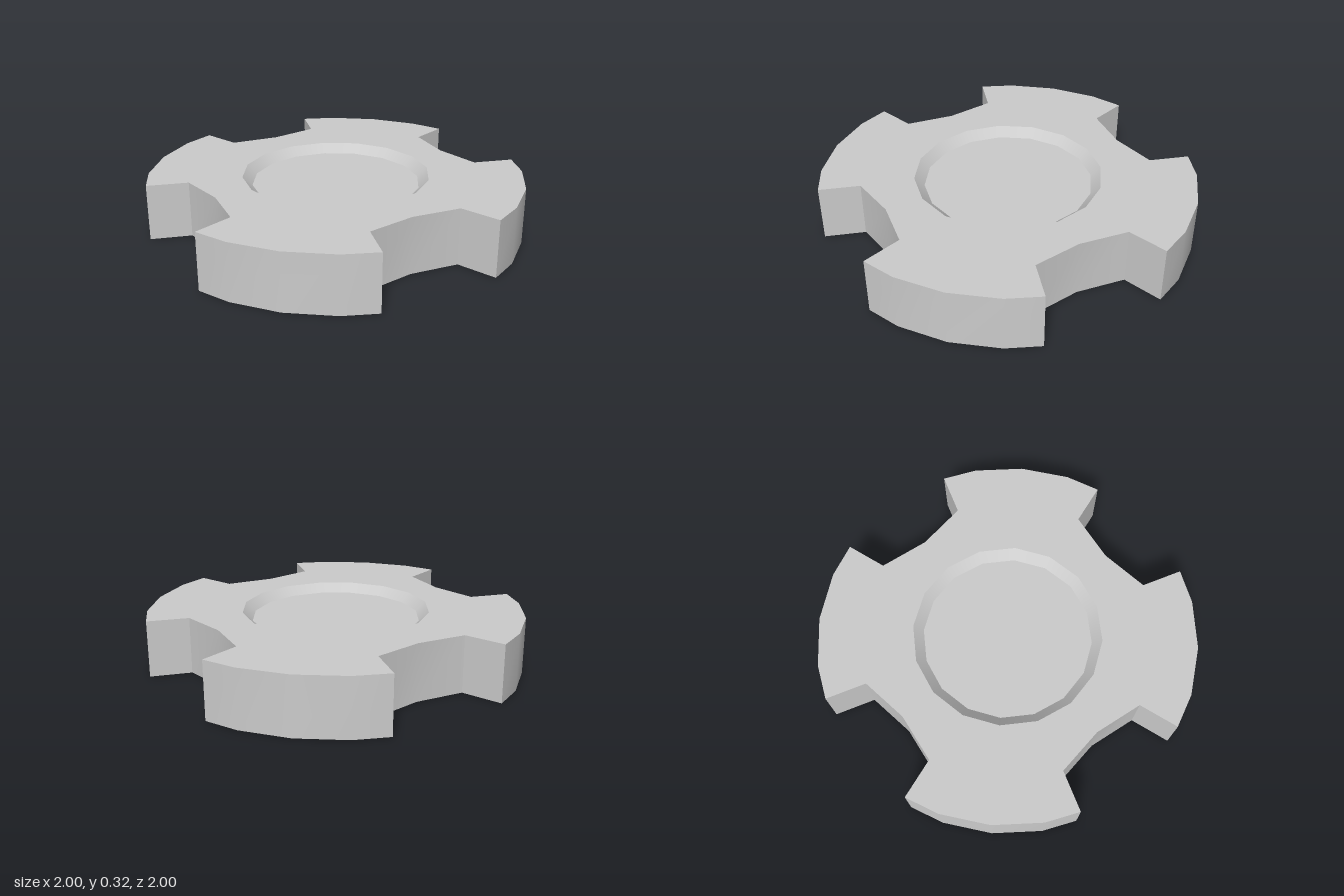
import * as THREE from 'three';
import { toCreasedNormals } from 'three/addons/utils/BufferGeometryUtils.js';

const HEIGHT = 0.32, RIM = 0.53, FLOOR = 0.475, FLOOR_Y = 0.27, SIDES = 16;
const CREASE = Math.PI / 6;

// One quarter of the outline: half notch, flared lobe, half notch
const QUARTER = [
  [0.742, 0], [0.78, 0.277], [1, 0.35], [0.92, 0.53],
  [0.75, 0.75], [0.53, 0.92], [0.35, 1], [0.277, 0.78],
];

function outlinePoints() {
  const points = [];
  for (let k = 0; k < 4; k++) {
    for (const [x, y] of QUARTER) {
      points.push(new THREE.Vector2(x, y).rotateAround(new THREE.Vector2(), k * Math.PI / 2));
    }
  }
  return points;
}

// Vertical wall following a closed counter-clockwise outline
function wallGeometry(points, height) {
  const pos = [];
  points.forEach((a, i) => {
    const b = points[(i + 1) % points.length];
    pos.push(a.x, 0, -a.y, b.x, 0, -b.y, b.x, height, -b.y);
    pos.push(a.x, 0, -a.y, b.x, height, -b.y, a.x, height, -a.y);
  });
  const geometry = new THREE.BufferGeometry();
  geometry.setAttribute('position', new THREE.Float32BufferAttribute(pos, 3));
  return toCreasedNormals(geometry, CREASE);
}

export function createModel() {
  const group = new THREE.Group();
  group.name = 'notchedDisc';
  const material = new THREE.MeshStandardMaterial({ color: 0xcccccc });
  const add = (name, geometry) => {
    const mesh = new THREE.Mesh(geometry, material);
    mesh.name = name;
    group.add(mesh);
  };

  const outline = outlinePoints();

  // Top face with a sixteen-sided opening
  const topShape = new THREE.Shape(outline);
  const opening = [];
  for (let i = 0; i < SIDES; i++) {
    const a = -i / SIDES * Math.PI * 2;
    opening.push(new THREE.Vector2(RIM * Math.cos(a), RIM * Math.sin(a)));
  }
  topShape.holes.push(new THREE.Path(opening));
  add('topFace', new THREE.ShapeGeometry(topShape).rotateX(-Math.PI / 2).translate(0, HEIGHT, 0));

  // Underside and outer wall
  add('underside', new THREE.ShapeGeometry(new THREE.Shape(outline)).rotateX(Math.PI / 2));
  add('outerWall', wallGeometry(outline, HEIGHT));

  // Shallow dish: sloping rim and flat floor
  const slope = [new THREE.Vector2(RIM, HEIGHT), new THREE.Vector2(FLOOR, FLOOR_Y)];
  add('recessSlope', new THREE.LatheGeometry(slope, SIDES));
  add('recessFloor', new THREE.CircleGeometry(FLOOR, SIDES).rotateX(-Math.PI / 2).translate(0, FLOOR_Y, 0));

  return group;
}
